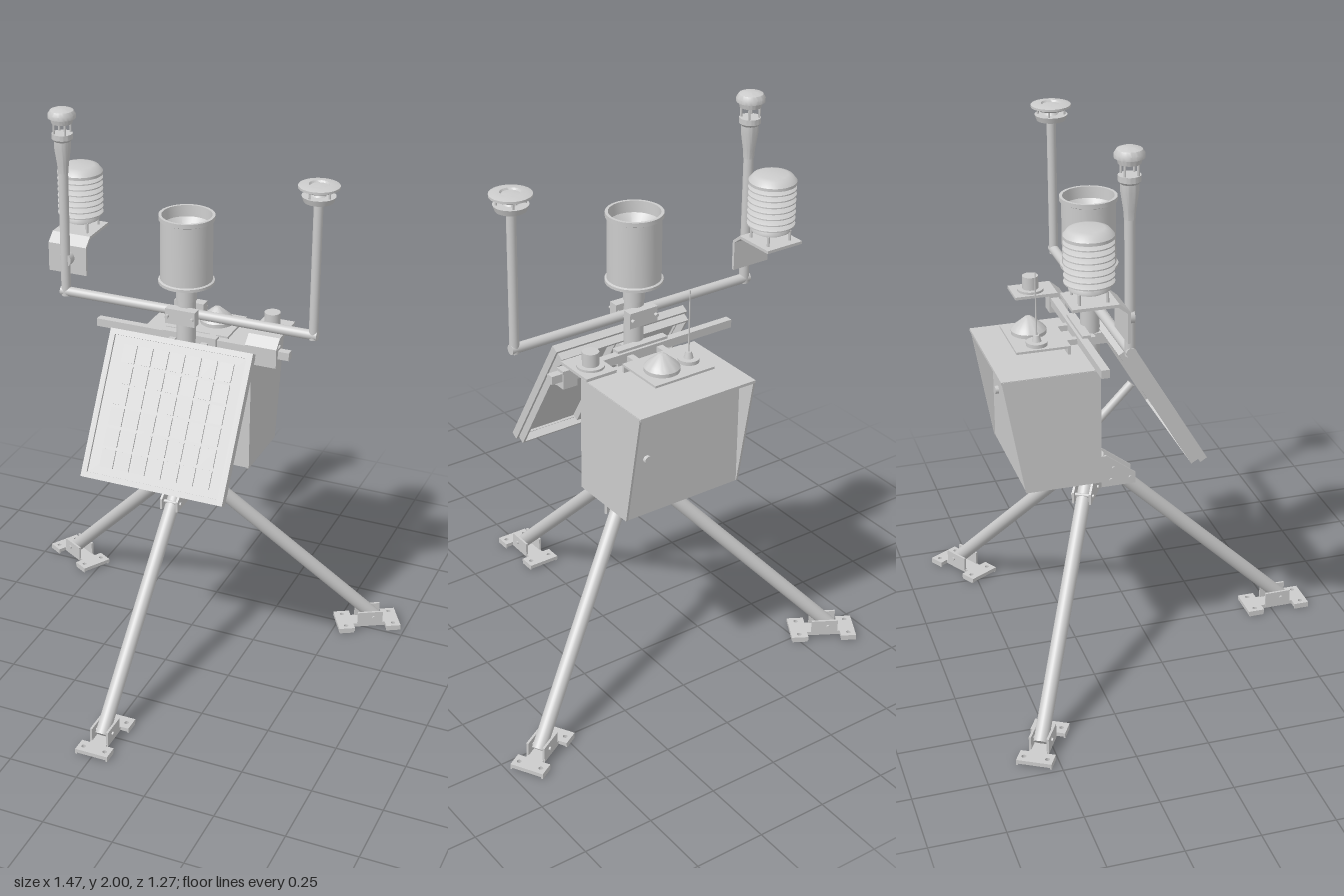
import * as THREE from 'three';
import { toCreasedNormals } from 'three/addons/utils/BufferGeometryUtils.js';

const mat = new THREE.MeshStandardMaterial({ color: 0xcccccc, side: THREE.DoubleSide });
const MAST_Z = -0.18;

function add(parent, name, geo, x = 0, y = 0, z = 0) {
  const m = new THREE.Mesh(geo, mat);
  m.name = name;
  m.position.set(x, y, z);
  parent.add(m);
  return m;
}
function group(parent, name, x = 0, y = 0, z = 0) {
  const g = new THREE.Group();
  g.name = name;
  g.position.set(x, y, z);
  parent.add(g);
  return g;
}
// Box given by its min and max on each axis
const box = (p, name, x0, x1, y0, y1, z0, z1) =>
  add(p, name, new THREE.BoxGeometry(x1 - x0, y1 - y0, z1 - z0), (x0 + x1) / 2, (y0 + y1) / 2, (z0 + z1) / 2);
// Upright cylinder from y0 to y1
const cyl = (p, name, r0, r1, y0, y1, x = 0, z = 0, n = 32) =>
  add(p, name, new THREE.CylinderGeometry(r1, r0, y1 - y0, n), x, (y0 + y1) / 2, z);
// Tube between two points
function rod(p, name, a, b, r) {
  const va = new THREE.Vector3(...a), vb = new THREE.Vector3(...b), d = vb.clone().sub(va);
  const m = add(p, name, new THREE.CylinderGeometry(r, r, d.length(), 24));
  m.position.copy(va).add(vb).multiplyScalar(0.5);
  m.quaternion.setFromUnitVectors(new THREE.Vector3(0, 1, 0), d.normalize());
  return m;
}
const lathe = (p, name, pts, x = 0, y = 0, z = 0, n = 40) =>
  add(p, name, toCreasedNormals(new THREE.LatheGeometry(pts.map(q => new THREE.Vector2(...q)), n), 0.6), x, y, z);
const polygon = pts => new THREE.Shape(pts.map(q => new THREE.Vector2(...q)));
// Side profile given as (z, y), extruded along x and centred on x
function sidePlate(p, name, pts, x, width) {
  const geo = new THREE.ExtrudeGeometry(polygon(pts), { depth: width, bevelEnabled: false });
  geo.translate(0, 0, -width / 2).rotateY(-Math.PI / 2);
  return add(p, name, geo, x);
}

// One tripod leg pointing along +z from the mast axis
function leg(parent, angle) {
  const g = group(parent, 'tripodLeg', 0, 0, MAST_Z);
  g.rotation.y = angle;
  rod(g, 'legTube', [0, 0.685, 0.06], [0, 0.035, 0.725], 0.025);
  for (const s of [-1, 1]) {
    sidePlate(g, 'hubCheek', [[0.02, 0.62], [0.15, 0.62], [0.15, 0.66], [0.045, 0.74], [0.02, 0.74]], s * 0.03, 0.008);
    box(g, 'footCheek', s * 0.03 - 0.004, s * 0.03 + 0.004, 0.012, 0.068, 0.655, 0.75);
  }
  for (const [y, z] of [[0.69, 0.07], [0.645, 0.13], [0.645, 0.06], [0.045, 0.715]])
    rod(g, 'bolt', [-0.04, y, z], [0.04, y, z], 0.006);
  // Ground plate: two wide ends with bolt holes joined by a narrow web
  const half = [[0.06, 0.58], [0.06, 0.64], [0.03, 0.64], [0.03, 0.76], [0.06, 0.76], [0.06, 0.815]];
  const plate = polygon([...half, ...half.slice().reverse().map(([x, z]) => [-x, z])]);
  for (const x of [-0.04, 0.04]) for (const z of [0.61, 0.79])
    plate.holes.push(new THREE.Path().absarc(x, z, 0.008, 0, Math.PI * 2, true));
  const geo = new THREE.ExtrudeGeometry(plate, { depth: 0.014, bevelEnabled: false, curveSegments: 8 });
  geo.rotateX(Math.PI / 2);
  add(g, 'groundPlate', geo, 0, 0.02, 0);
  for (const s of [-1, 1]) for (const z of [0.61, 0.788])
    box(g, 'groundLip', s * 0.057 - 0.003, s * 0.057 + 0.003, 0, 0.02, z - 0.027, z + 0.027);
}

function solarPanel(parent) {
  const g = group(parent, 'solarPanel', 0.01, 1.0275, 0.0225);
  g.rotation.x = -0.527;
  const w = 0.265, h = 0.2635, t = 0.02;
  box(g, 'panelFace', -w + 0.005, w - 0.005, -h + 0.005, h - 0.005, -0.02, -0.009);
  for (const s of [-1, 1]) {
    box(g, 'frameSide', s * (w - t / 2) - t / 2, s * (w - t / 2) + t / 2, -h, h, -0.028, 0);
    box(g, 'frameEnd', -w, w, s * (h - t / 2) - t / 2, s * (h - t / 2) + t / 2, -0.028, 0);
    box(g, 'backFlange', s * (w - 0.012) - 0.004, s * (w - 0.012) + 0.004, -h + 0.01, h - 0.01, -0.056, -0.028);
    box(g, 'backFlangeEnd', -w + 0.012, w - 0.012, s * (h - 0.014) - 0.004, s * (h - 0.014) + 0.004, -0.056, -0.028);
  }
  for (let r = 0; r < 6; r++) for (let c = 0; c < 7; c++) {
    const x = (c - 3) * 0.06, y = (r - 2.5) * 0.074;
    box(g, 'cell', x - 0.025, x + 0.025, y - 0.032, y + 0.032, -0.01, -0.003);
  }
  box(g, 'backRail', -0.03, 0.03, -0.24, 0.24, -0.045, -0.02);
}

// Equipment case with a sloping hood around a recessed door
function enclosure(parent) {
  const g = group(parent, 'enclosure');
  box(g, 'caseBody', -0.226, 0.226, 0.75, 1.155, -0.47, -0.215);
  box(g, 'caseTop', -0.23, 0.23, 1.157, 1.167, -0.545, -0.21);
  for (const s of [-1, 1])
    sidePlate(g, 'caseSide', [[-0.21, 0.75], [-0.21, 1.165], [-0.543, 1.165], [-0.472, 0.75]], s * 0.227, 0.008);
  rod(g, 'doorLock', [0.15, 0.96, -0.46], [0.15, 0.96, -0.482], 0.014);
}

// Horizontal shelf with a bent front leaf
function shelf(parent, name, x0, x1, top, drop) {
  sidePlate(parent, name, [[-0.385, top], [-0.235, top], [-0.2, top - 0.03], [-0.2, top - drop], [-0.21, top - drop],
    [-0.21, top - 0.034], [-0.24, top - 0.01], [-0.385, top - 0.01]], (x0 + x1) / 2, x1 - x0);
}

function rainGauge(parent) {
  const g = group(parent, 'rainGauge', 0, 0, MAST_Z);
  lathe(g, 'gaugeBody', [[0, 1.445], [0.097, 1.445], [0.097, 1.455], [0.09, 1.458], [0.09, 1.672], [0.096, 1.675],
    [0.096, 1.69], [0.086, 1.69], [0.084, 1.65], [0.012, 1.56], [0, 1.56]]);
  cyl(g, 'gaugeSocket', 0.036, 0.036, 1.38, 1.447);
}

// Slender sensor with a domed cap on the right upright
function cappedSensor(parent) {
  const g = group(parent, 'cappedSensor', -0.46, 0, MAST_Z);
  lathe(g, 'sensorHorn', [[0, 1.77], [0.018, 1.77], [0.02, 1.8], [0.029, 1.86], [0.029, 1.885], [0.036, 1.893], [0.036, 1.912], [0, 1.912]]);
  for (let i = 0; i < 4; i++) {
    const a = Math.PI / 4 + i * Math.PI / 2;
    cyl(g, 'capPost', 0.004, 0.004, 1.91, 1.965, 0.03 * Math.cos(a), 0.03 * Math.sin(a), 8);
  }
  lathe(g, 'sensorCap', [[0, 1.948], [0.036, 1.948], [0.04, 1.965], [0.048, 1.967], [0.048, 1.98], [0.04, 1.993], [0.022, 2], [0, 2]]);
}

// Stacked-plate shield on its bent shelf
function radiationShield(parent) {
  const g = group(parent, 'radiationShield', -0.46, 0, -0.31);
  cyl(g, 'shieldCore', 0.048, 0.048, 1.55, 1.73);
  for (let i = 0; i < 8; i++) {
    const y = 1.56 + i * 0.021, r = i === 0 ? 0.066 : 0.08;
    lathe(g, 'louver', [[r, y], [r, y + 0.004], [0.062, y + 0.014], [0.04, y + 0.014], [0.04, y + 0.01], [0.06, y + 0.01], [r, y]]);
  }
  lathe(g, 'shieldTop', [[0.08, 1.725], [0.08, 1.735], [0.066, 1.752], [0.05, 1.757], [0, 1.757]]);
  for (const [x, z] of [[-0.045, -0.045], [0.045, -0.045], [-0.045, 0.045], [0.045, 0.045]])
    cyl(g, 'shieldPost', 0.005, 0.005, 1.505, 1.56, x, z, 10);
  shelf(parent, 'shieldShelf', -0.535, -0.39, 1.525, 0.135);
}

// Two-disc wind sensor on the left upright
function windSensor(parent) {
  const g = group(parent, 'windSensor', 0.463, 0, MAST_Z);
  cyl(g, 'lowerDisc', 0.05, 0.057, 1.808, 1.828);
  cyl(g, 'sensorCone', 0.024, 0.006, 1.828, 1.848);
  lathe(g, 'upperDisc', [[0, 1.846], [0.05, 1.846], [0.069, 1.855], [0.069, 1.863], [0.05, 1.868], [0.034, 1.868], [0.03, 1.862], [0, 1.866]]);
  for (let i = 0; i < 4; i++) {
    const a = i * Math.PI / 2 + 0.4;
    cyl(g, 'discPost', 0.004, 0.004, 1.825, 1.855, 0.046 * Math.cos(a), 0.046 * Math.sin(a), 8);
  }
}

// Crossbar, antenna tray and small light sensor behind the mast
function rearInstruments(parent) {
  const g = group(parent, 'rearInstruments');
  box(g, 'crossbar', -0.36, 0.365, 1.197, 1.226, -0.245, -0.217);
  shelf(g, 'lightSensorShelf', 0.21, 0.325, 1.268, 0.1);
  box(g, 'shelfClamp', 0.27, 0.325, 1.17, 1.235, -0.25, -0.2);
  cyl(g, 'lightSensorBase', 0.046, 0.046, 1.268, 1.276, 0.265, -0.318);
  cyl(g, 'lightSensor', 0.028, 0.028, 1.276, 1.322, 0.265, -0.318);
  box(g, 'antennaTray', -0.12, 0.115, 1.207, 1.215, -0.465, -0.28);
  box(g, 'trayLip', -0.12, 0.115, 1.185, 1.215, -0.29, -0.28);
  for (const s of [-1, 1]) box(g, 'trayArm', s * 0.06 - 0.012, s * 0.06 + 0.012, 1.195, 1.215, -0.3, -0.18);
  lathe(g, 'domeAntenna', [[0, 1.215], [0.06, 1.215], [0.06, 1.228], [0.05, 1.24], [0.012, 1.272], [0, 1.275]], 0.032, 0, -0.385);
  cyl(g, 'whipBase', 0.036, 0.036, 1.215, 1.228, -0.075, -0.385);
  cyl(g, 'whipCollar', 0.016, 0.01, 1.228, 1.25, -0.075, -0.385);
  cyl(g, 'whipAntenna', 0.003, 0.002, 1.25, 1.47, -0.075, -0.385, 8);
}

export function createModel() {
  const root = new THREE.Group();
  root.name = 'weatherStation';

  // Mast and tripod
  cyl(root, 'mast', 0.033, 0.033, 0.63, 1.45, 0, MAST_Z);
  cyl(root, 'hubSleeve', 0.042, 0.042, 0.62, 0.74, 0, MAST_Z);
  for (let i = 0; i < 3; i++) leg(root, i * Math.PI * 2 / 3);

  // Cross arm with two uprights
  rod(root, 'crossArm', [-0.478, 1.33, MAST_Z], [0.478, 1.33, MAST_Z], 0.017);
  cyl(root, 'rightUpright', 0.017, 0.017, 1.315, 1.79, -0.46, MAST_Z, 24);
  cyl(root, 'leftUpright', 0.016, 0.016, 1.315, 1.81, 0.463, MAST_Z, 24);
  for (const s of [-1, 1]) {
    box(root, 'armClamp', -0.055, 0.055, 1.305, 1.36, MAST_Z + s * 0.04 - 0.018, MAST_Z + s * 0.04 + 0.018);
    rod(root, 'clampBolt', [s * 0.046, 1.333, -0.25], [s * 0.046, 1.333, -0.11], 0.006);
  }
  rod(root, 'shieldShelfStrap', [-0.46, 1.45, -0.17], [-0.46, 1.45, -0.21], 0.025);

  // Panel mounting
  rod(root, 'panelStrut', [0, 0.99, -0.035], [0, 0.855, -0.165], 0.015);
  box(root, 'panelHinge', -0.035, 0.035, 1.17, 1.21, -0.2, -0.115);
  box(root, 'mastBracket', -0.1, 0.1, 1.18, 1.235, -0.235, -0.205);
  box(root, 'caseBracket', -0.06, 0.06, 0.82, 1.1, -0.22, -0.2);

  solarPanel(root);
  enclosure(root);
  rainGauge(root);
  cappedSensor(root);
  radiationShield(root);
  windSensor(root);
  rearInstruments(root);
  return root;
}
